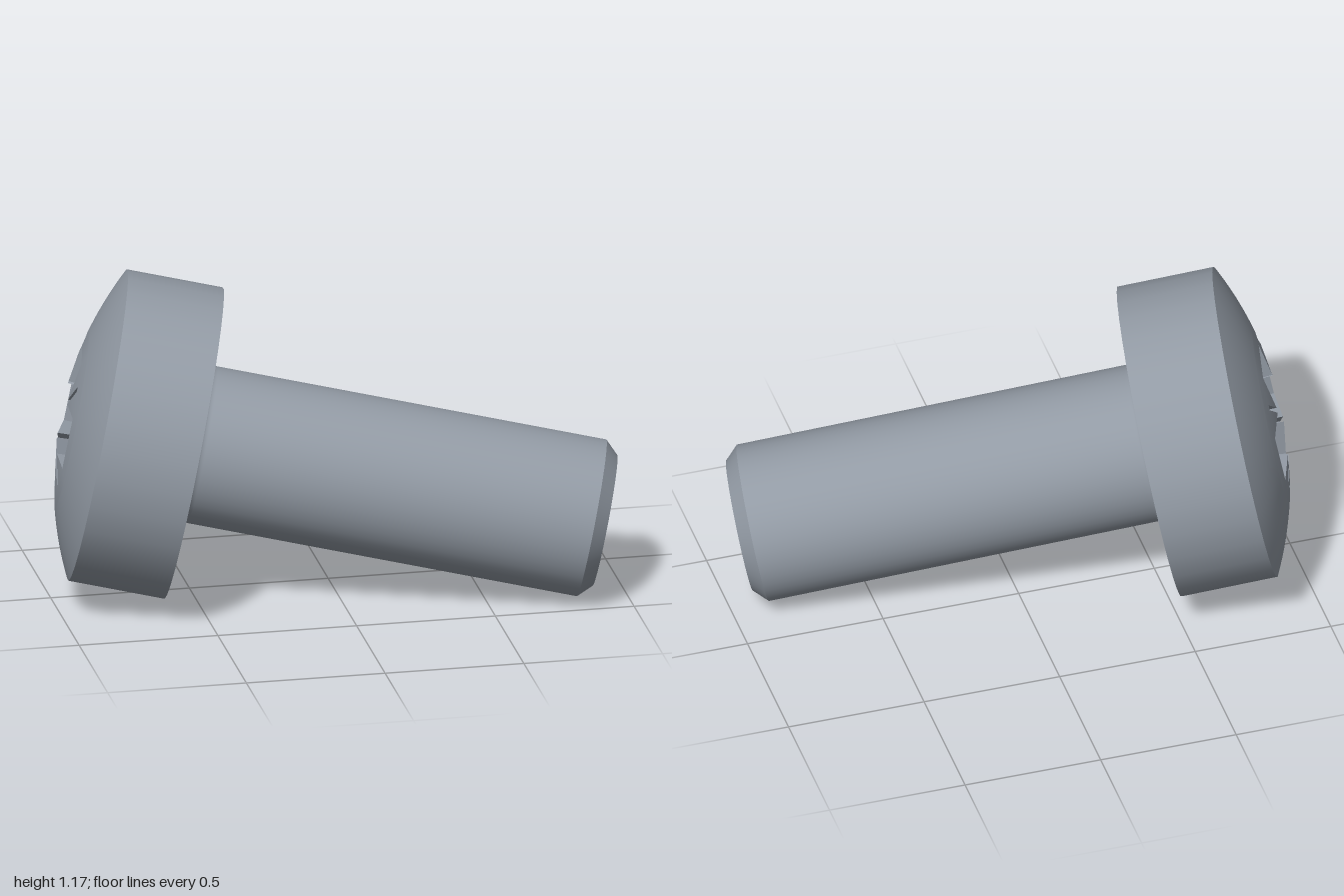
import * as THREE from 'three';

const HEAD_R = 0.56, HEAD_H = 0.345, DOME_H = 0.135, SHAFT_R = 0.282, LENGTH = 1.48;
const CHAMFER = 0.048, FILLET = 0.028, INNER_R = 0.32, FLOOR_Y = 0.15;
const SPHERE_R = (HEAD_R * HEAD_R + DOME_H * DOME_H) / (2 * DOME_H);
const SPHERE_Y = HEAD_H + DOME_H - SPHERE_R;
const domeY = (r) => SPHERE_Y + Math.sqrt(SPHERE_R * SPHERE_R - r * r);

// Cross outline with a thin groove between neighbouring arms (counter-clockwise)
function recessOutline(arm, half, grooveEnd, groove) {
  const d = grooveEnd / Math.SQRT2, k = groove / Math.SQRT2;
  const quarter = [
    [arm, -half], [arm, half],
    [half + 2 * k, half], [d + k, d - k], [d - k, d + k], [half, half + 2 * k],
  ];
  const points = [];
  for (let i = 0; i < 4; i++) {
    for (const [x, y] of quarter) {
      points.push(new THREE.Vector2(x, y).rotateAround(new THREE.Vector2(), i * Math.PI / 2));
    }
  }
  return points;
}

// Centre of the dome with the recess cut out, lifted onto the sphere
function domeCentre(outline) {
  const ring = [];
  for (let i = 0; i < 32; i++) {
    const a = i * Math.PI / 16;
    ring.push(new THREE.Vector2(INNER_R * Math.cos(a), INNER_R * Math.sin(a)));
  }
  const shape = new THREE.Shape(ring);
  shape.holes.push(new THREE.Path(outline));
  const geometry = new THREE.ShapeGeometry(shape).rotateX(-Math.PI / 2);
  const p = geometry.attributes.position, n = geometry.attributes.normal;
  for (let i = 0; i < p.count; i++) {
    const x = p.getX(i), z = p.getZ(i), y = domeY(Math.hypot(x, z));
    p.setY(i, y);
    n.setXYZ(i, x / SPHERE_R, (y - SPHERE_Y) / SPHERE_R, z / SPHERE_R);
  }
  return geometry;
}

// Tapered walls between the dome opening and the recess floor
function recessWalls(top, bottom) {
  const positions = [];
  const upper = (v) => [v.x, domeY(v.length()), -v.y];
  const lower = (v) => [v.x, FLOOR_Y, -v.y];
  for (let i = 0; i < top.length; i++) {
    const j = (i + 1) % top.length;
    positions.push(...upper(top[i]), ...upper(top[j]), ...lower(bottom[j]));
    positions.push(...upper(top[i]), ...lower(bottom[j]), ...lower(bottom[i]));
  }
  const geometry = new THREE.BufferGeometry();
  geometry.setAttribute('position', new THREE.Float32BufferAttribute(positions, 3));
  geometry.computeVertexNormals();
  return geometry;
}

export function createModel() {
  const steel = new THREE.MeshStandardMaterial({ color: 0x929aa4 });
  steel.name = 'steel grey';
  const screw = new THREE.Group();
  screw.name = 'screw';

  const add = (name, geometry) => {
    const mesh = new THREE.Mesh(geometry, steel);
    mesh.name = name;
    screw.add(mesh);
  };
  const turned = (name, profile, segments) => add(name,
    new THREE.LatheGeometry(profile.map(([r, y]) => new THREE.Vector2(r, y)), segments));

  // Shaft: flat tip, chamfer, cylinder flowing into a small fillet
  const tipR = 0.235;
  turned('tip', [[0, -LENGTH], [tipR, -LENGTH]], 48);
  turned('tipChamfer', [[tipR, -LENGTH], [SHAFT_R, -LENGTH + CHAMFER]], 48);
  const shaft = [[SHAFT_R, -LENGTH + CHAMFER], [SHAFT_R, -FILLET - 0.005]];
  for (let i = 0; i <= 6; i++) {
    const a = i * Math.PI / 12;
    shaft.push([SHAFT_R + FILLET * (1 - Math.cos(a)), FILLET * (Math.sin(a) - 1)]);
  }
  turned('shaft', shaft, 48);

  // Head: underside, rim and outer dome
  turned('headUnderside', [[SHAFT_R, 0], [HEAD_R, 0]], 32);
  turned('headRim', [[HEAD_R, 0], [HEAD_R, HEAD_H]], 32);
  const dome = [];
  for (let i = 0; i <= 8; i++) {
    const r = HEAD_R + (INNER_R - HEAD_R) * i / 8;
    dome.push([r, domeY(r)]);
  }
  turned('headDome', dome, 32);

  // Cross recess with grooves
  const top = recessOutline(0.25, 0.095, 0.26, 0.009);
  const bottom = recessOutline(0.19, 0.08, 0.15, 0.006);
  add('headDomeCentre', domeCentre(top));
  add('recessWalls', recessWalls(top, bottom));
  add('recessFloor', new THREE.ShapeGeometry(new THREE.Shape(bottom))
    .rotateX(-Math.PI / 2).translate(0, FLOOR_Y, 0));

  // Tilt the screw so that it rests on the head rim and the tip
  const axis = new THREE.Vector3(-1.42, 0.285, -0.307).normalize();
  const up = new THREE.Vector3(0, 1, 0).addScaledVector(axis, -axis.y).normalize();
  const side = new THREE.Vector3().crossVectors(up, axis);
  screw.quaternion.setFromRotationMatrix(new THREE.Matrix4().makeBasis(up, axis, side));
  screw.position.set(-0.49, 0.555, 0.023);

  const model = new THREE.Group();
  model.name = 'machineScrew';
  model.add(screw);
  return model;
}
